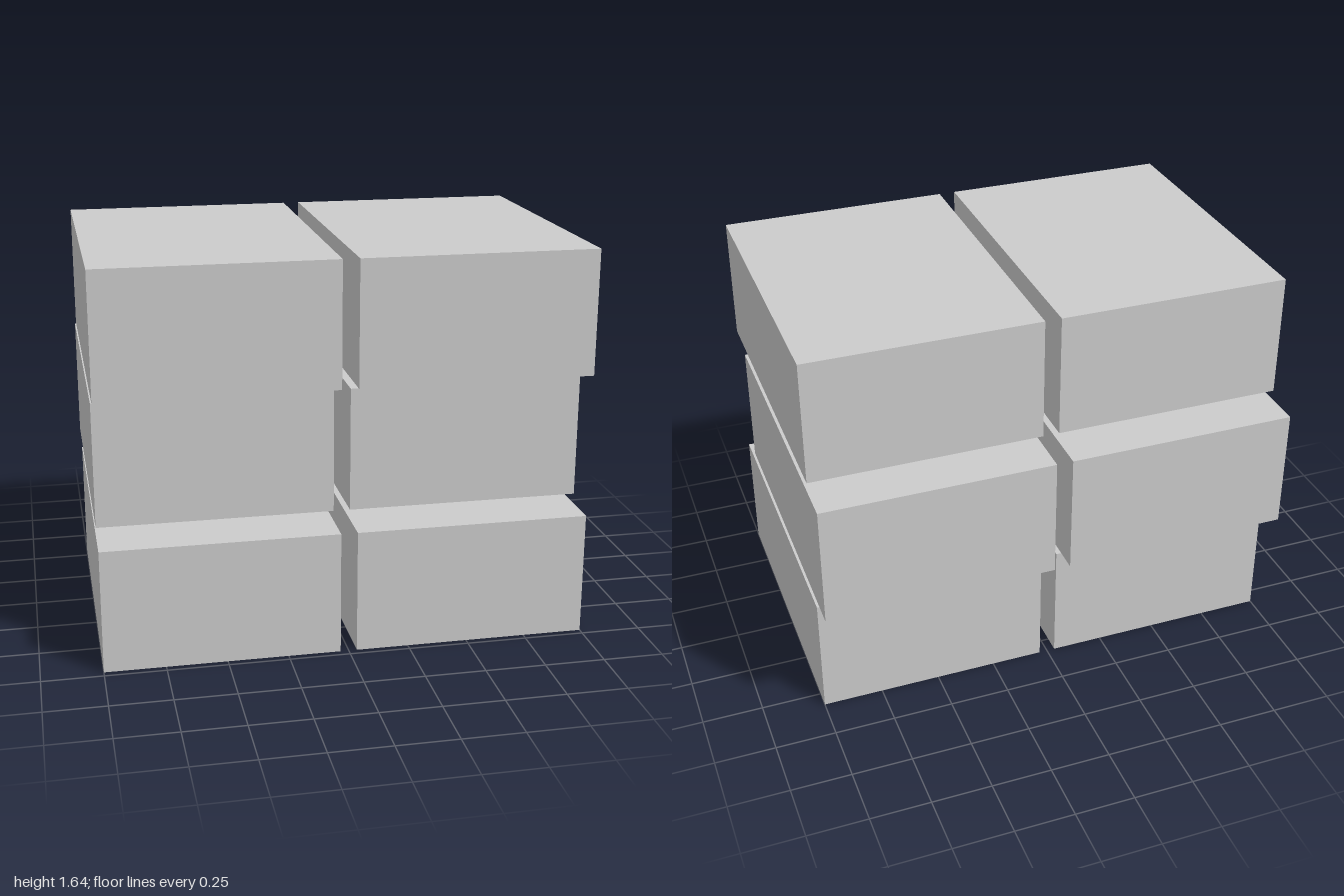
import * as THREE from 'three';

export function createModel() {
  const group = new THREE.Group();
  group.name = 'stackedBlocks';

  const material = new THREE.MeshStandardMaterial({ color: 0xcccccc, flatShading: true });
  const width = 0.966, height = 0.517, depth = 1.29;
  const pitch = 0.56;  // layer spacing, leaving a thin gap between layers
  const shift = 0.075; // alternating forward and backward offset of the layers
  const block = new THREE.BoxGeometry(width, height, depth);

  // Three staggered layers, each a mirrored pair of blocks
  ['bottom', 'middle', 'top'].forEach((layerName, i) => {
    const layer = new THREE.Group();
    layer.name = `${layerName}Layer`;
    layer.position.set(0, height / 2 + i * pitch, i % 2 ? -shift : shift);
    for (const side of [-1, 1]) {
      const mesh = new THREE.Mesh(block, material);
      mesh.name = `${layerName}${side > 0 ? 'Left' : 'Right'}Block`;
      mesh.position.x = side * (1 - width / 2);
      layer.add(mesh);
    }
    group.add(layer);
  });

  return group;
}
